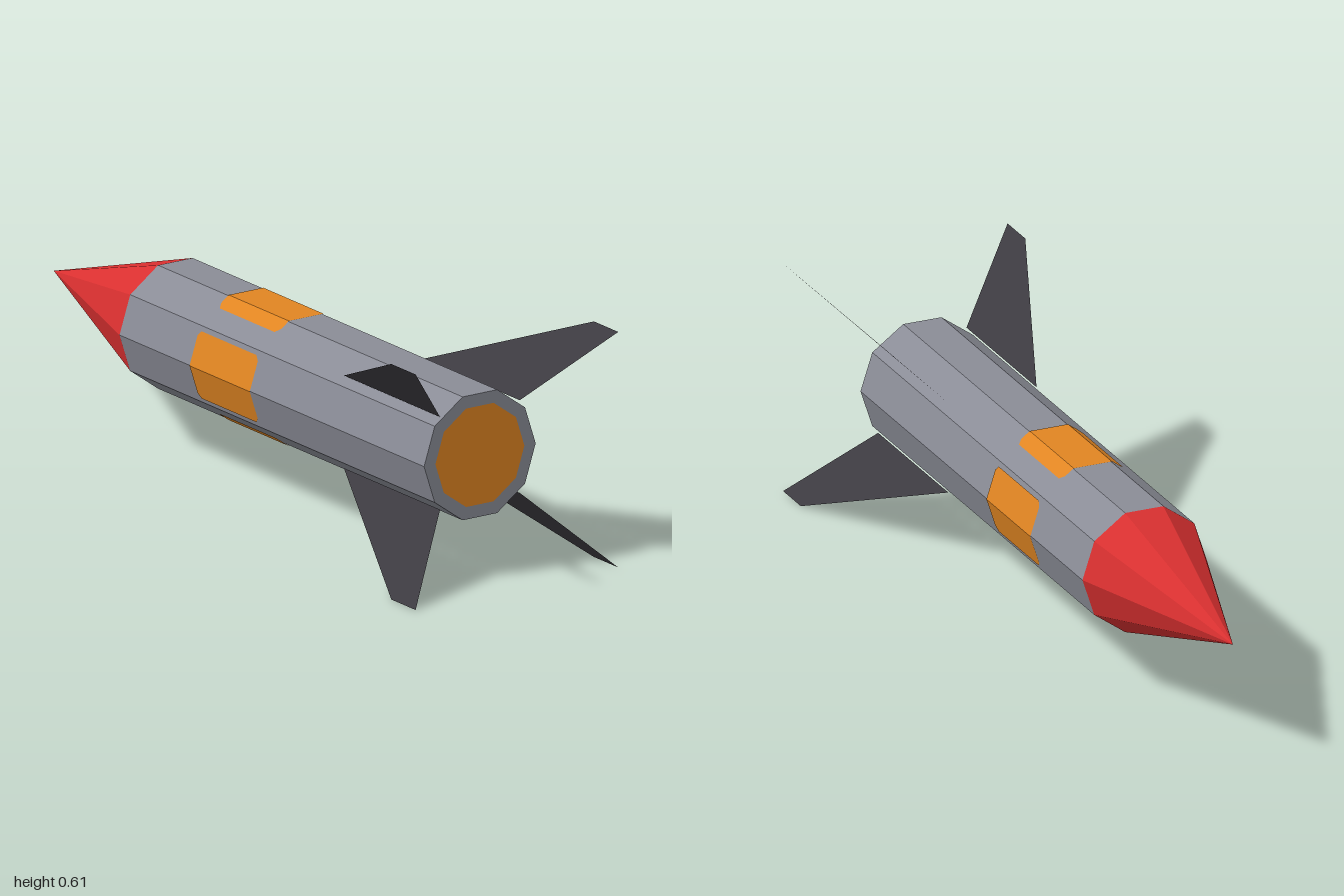
import * as THREE from 'three';

const R = 0.168, SIDES = 10, AXIS_Y = 0.306;
const TAIL = 0.84, SHOULDER = -0.475, TIP = -1;

const mat = (name, color, side = THREE.FrontSide) => {
  const m = new THREE.MeshStandardMaterial({ color, flatShading: true, side });
  m.name = name;
  return m;
};

// Height of the ten-sided hull above its axis, over a flat face and over a corner
const overFace = (t) => 0.16 - Math.max(0, Math.abs(t) - 0.052) * 0.727;
const overCorner = (t) => R - Math.abs(t) * 0.325;

// Thin panel bent over the hull, with clipped corners
function panelGeometry(place) {
  const ts = [-0.087, -0.075, -0.052, 0, 0.052, 0.075, 0.087];
  const half = (t) => (Math.abs(t) > 0.08 ? 0.118 : 0.13);
  const pos = [];
  for (let i = 0; i < ts.length - 1; i++) {
    const [s, t] = [ts[i], ts[i + 1]];
    const a = [...place(s), -0.04 + half(s)], b = [...place(t), -0.04 + half(t)];
    const c = [...place(t), -0.04 - half(t)], d = [...place(s), -0.04 - half(s)];
    pos.push(...a, ...b, ...c, ...a, ...c, ...d);
  }
  const g = new THREE.BufferGeometry();
  g.setAttribute('position', new THREE.Float32BufferAttribute(pos, 3));
  g.computeVertexNormals();
  return g;
}

export function createModel() {
  const hull = mat('hull grey', 0x8a8c96);
  const orange = mat('orange', 0xe08522);
  const red = mat('nose red', 0xd93030);
  const dark = mat('fin charcoal', 0x3c3a40, THREE.DoubleSide);

  const rocket = new THREE.Group();
  rocket.name = 'rocket';
  rocket.position.y = AXIS_Y;
  const add = (name, geometry, material) => {
    const mesh = new THREE.Mesh(geometry, material);
    mesh.name = name;
    rocket.add(mesh);
    return mesh;
  };

  // Body tube and nose cone, lying along z with the nose at the back
  const tube = (top, from, to) =>
    new THREE.CylinderGeometry(top, R, from - to, SIDES, 1, true, Math.PI / 2)
      .rotateX(-Math.PI / 2)
      .translate(0, 0, (from + to) / 2);
  add('body', tube(R, TAIL, SHOULDER), hull);
  add('noseCone', tube(0, SHOULDER, TIP), red);

  // Tail end: grey rim around the exhaust disc
  add('tailRim', new THREE.RingGeometry(0.134, R, SIDES), hull).position.z = TAIL;
  add('exhaust', new THREE.CircleGeometry(0.134, SIDES), orange).position.z = TAIL;

  // Four panels: top and bottom over a face, left and right over a corner
  const lift = 0.002;
  const facePanel = panelGeometry((t) => [t, overFace(t) + lift]);
  const cornerPanel = panelGeometry((t) => [overCorner(t) + lift, -t]);
  add('topPanel', facePanel, orange);
  add('bottomPanel', facePanel, orange).rotation.z = Math.PI;
  add('leftPanel', cornerPanel, orange);
  add('rightPanel', cornerPanel, orange).rotation.z = Math.PI;

  // Four swept sheet fins on the diagonals
  const outline = [[0.12, 0.425], [0.305, 0.895], [0.305, 1], [0.12, 0.84]];
  const shape = new THREE.Shape(outline.map(([r, z]) => new THREE.Vector2(r * Math.SQRT2, z)));
  const fin = new THREE.ShapeGeometry(shape).rotateX(Math.PI / 2);
  for (let i = 0; i < 4; i++) {
    add('fin' + (i + 1), fin, dark).rotation.z = Math.PI / 4 + (i * Math.PI) / 2;
  }

  const model = new THREE.Group();
  model.add(rocket);
  return model;
}
